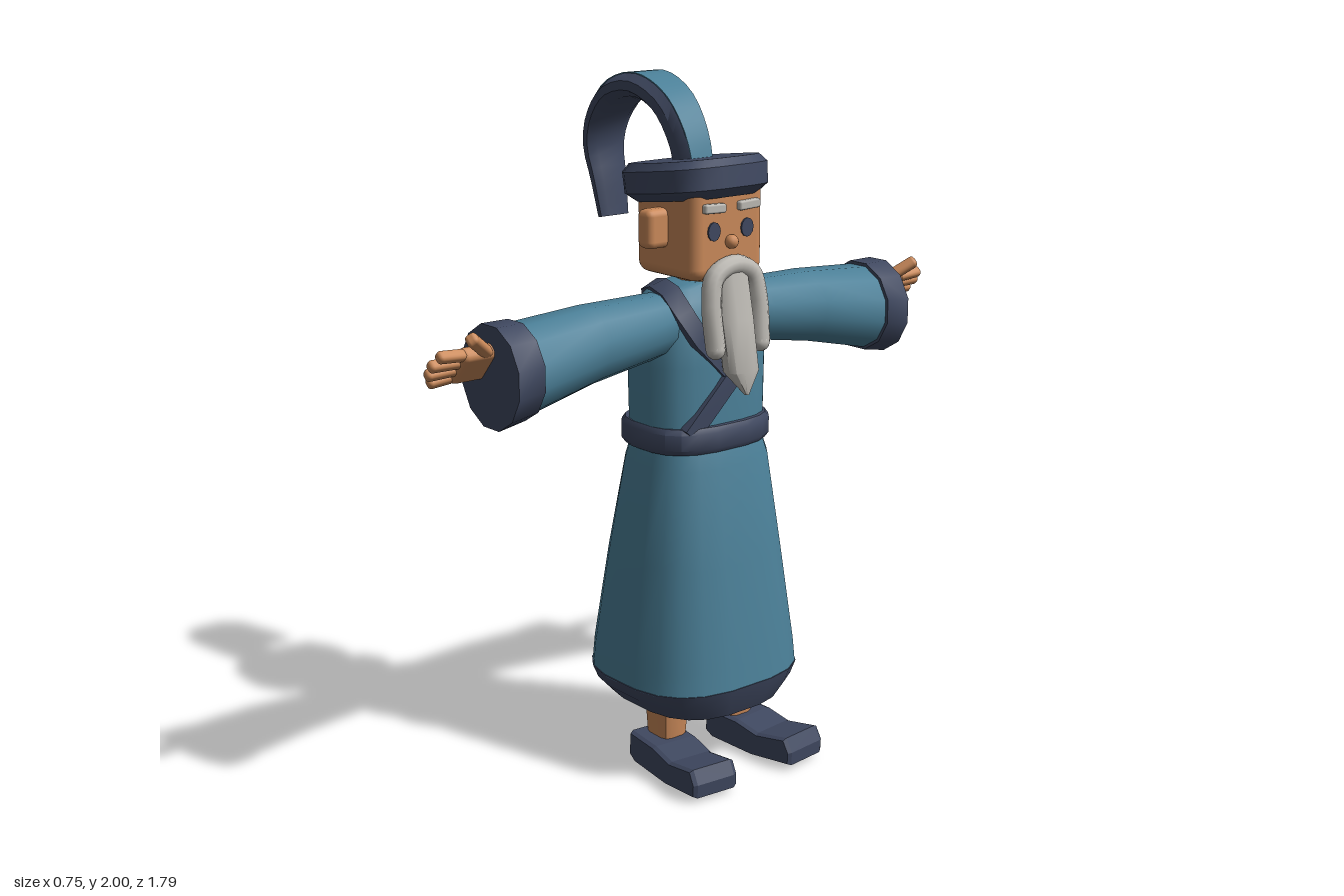
import * as THREE from 'three';
import { toCreasedNormals } from 'three/addons/utils/BufferGeometryUtils.js';
import { RoundedBoxGeometry } from 'three/addons/geometries/RoundedBoxGeometry.js';

const V = (x, y, z) => new THREE.Vector3(x, y, z);
const mat = (name, color) => {
  const m = new THREE.MeshStandardMaterial({ color });
  m.name = name;
  return m;
};

// Skin a series of rings, closing both ends
function loft(rings, crease = 0.7) {
  const n = rings[0].length, pos = [], idx = [];
  rings.forEach(r => r.forEach(p => pos.push(p.x, p.y, p.z)));
  for (let i = 0; i < rings.length - 1; i++) {
    for (let j = 0; j < n; j++) {
      const k = (j + 1) % n, a = i * n + j, b = i * n + k;
      idx.push(a, a + n, b, b, a + n, b + n);
    }
  }
  [0, rings.length - 1].forEach((ri, end) => {
    const c = V(0, 0, 0);
    rings[ri].forEach(p => c.addScaledVector(p, 1 / n));
    const ci = pos.length / 3;
    pos.push(c.x, c.y, c.z);
    for (let j = 0; j < n; j++) {
      const a = ri * n + j, b = ri * n + (j + 1) % n;
      if (end) idx.push(ci, b, a); else idx.push(ci, a, b);
    }
  });
  const g = new THREE.BufferGeometry();
  g.setAttribute('position', new THREE.Float32BufferAttribute(pos, 3));
  g.setIndex(idx);
  return toCreasedNormals(g, crease);
}

// Horizontal rounded-square ring: height, half width, back z, front z
function oval([y, hx, z0, z1], seg = 20, power = 2.8) {
  const f = c => Math.sign(c) * Math.abs(c) ** (2 / power);
  return Array.from({ length: seg }, (_, i) => {
    const a = (i + 0.5) / seg * Math.PI * 2;
    return V(hx * f(Math.cos(a)), y, (z0 + z1) / 2 + (z1 - z0) / 2 * f(Math.sin(a)));
  });
}
const ovalLoft = (rows, seg, power) => loft(rows.map(r => oval(r, seg, power)));

// Sweep a flat shape [across, out] along frames {p, t, n, w, h}
function sweep(frames, shape) {
  return loft(frames.map(({ p, t, n, w, h }) => {
    const b = n.clone().cross(t).normalize();
    return shape.map(([u, v]) => p.clone().addScaledVector(b, u * w).addScaledVector(n, v * h));
  }));
}
const RECT = [[-1, 1], [1, 1], [1, -1], [-1, -1]];
const BEVEL = [[-0.7, 1], [0.7, 1], [1, 0.4], [1, -0.4], [0.6, -1], [-0.6, -1], [-1, -0.4], [-1, 0.4]];

export function createModel() {
  const root = new THREE.Group(), body = new THREE.Group();
  root.name = 'robedElder';
  body.name = 'body';
  body.rotation.y = Math.PI / 2; // built facing +z, turned to face +x
  root.add(body);

  const cloth = mat('tealCloth', 0x4b8098), trim = mat('navyTrim', 0x3f4860);
  const skin = mat('skin', 0xcb8a5a), hair = mat('greyHair', 0xbcb9b3);
  const add = (name, geo, m, parent = body, p = [0, 0, 0], r = [0, 0, 0]) => {
    const o = new THREE.Mesh(geo, m);
    o.name = name;
    o.position.set(...p);
    o.rotation.set(...r);
    parent.add(o);
    return o;
  };

  // Robe
  add('hem', ovalLoft([[0.2, 0.22, -0.165, 0.295], [0.25, 0.267, -0.19, 0.317], [0.29, 0.284, -0.2, 0.328]]), trim);
  add('skirt', ovalLoft([[0.285, 0.282, -0.198, 0.326], [0.36, 0.277, -0.19, 0.318], [0.65, 0.24, -0.145, 0.28],
    [0.93, 0.203, -0.09, 0.24], [0.99, 0.185, -0.075, 0.222]]), cloth);
  add('belt', ovalLoft([[0.975, 0.2, -0.09, 0.23], [0.99, 0.21, -0.1, 0.24], [1.035, 0.21, -0.1, 0.24],
    [1.05, 0.2, -0.09, 0.23]]), trim);
  add('torso', ovalLoft([[1, 0.198, -0.065, 0.215], [1.22, 0.203, -0.066, 0.215], [1.33, 0.195, -0.056, 0.205],
    [1.4, 0.18, -0.025, 0.18], [1.43, 0.15, 0, 0.155], [1.445, 0.09, 0.02, 0.14]]), cloth);

  // Collar strips: position then outward normal
  const strip = (name, rows) => {
    const curve = new THREE.CatmullRomCurve3(rows.map(r => V(r[0], r[1], r[2])));
    const frames = rows.map((r, i) => {
      const t = curve.getTangent(i / (rows.length - 1));
      const n = V(r[3], r[4], r[5]);
      n.addScaledVector(t, -n.dot(t)).normalize();
      return { p: V(r[0], r[1], r[2]), t, n, w: 0.027, h: 0.016 };
    });
    add(name, sweep(frames, RECT), trim);
  };
  const side = s => [[s * 0.1, 1.3, 0.203, 0, 0.1, 1], [s * 0.137, 1.37, 0.18, s * 0.3, 0.4, 0.9],
    [s * 0.14, 1.42, 0.13, s * 0.5, 1, 0.3], [s * 0.13, 1.43, 0.07, s * 0.4, 1, 0],
    [s * 0.105, 1.415, 0.005, s * 0.3, 0.8, -0.6], [s * 0.065, 1.36, -0.042, 0, 0.3, -1], [0, 1.28, -0.062, 0, 0, -1]];
  strip('collarLong', [[-0.135, 1.03, 0.2, 0, 0, 1], [0, 1.175, 0.214, 0, 0, 1], ...side(1)]);
  strip('collarShort', [[0.01, 1.19, 0.212, 0, 0, 1], ...side(-1)]);

  // Sleeve ring around the arm: x, bottom, top, back, front
  const armRing = ([x, y0, y1, z0, z1]) => Array.from({ length: 12 }, (_, i) => {
    const a = (i + 0.5) / 12 * Math.PI * 2;
    return V(x, (y0 + y1) / 2 + (y1 - y0) / 2 * Math.sin(a) * 1.03, (z0 + z1) / 2 + (z1 - z0) / 2 * Math.cos(a) * 1.03);
  });

  // Shoe outline seen from the side: forward, up
  const shoe = new THREE.Shape([[0.03, 0.03], [0.06, 0.012], [0.22, 0.005], [0.37, 0.02], [0.372, 0.06],
    [0.35, 0.1], [0.24, 0.082], [0.16, 0.1], [0.035, 0.104]].map(p => new THREE.Vector2(p[0], p[1])));
  const shoeGeo = new THREE.ExtrudeGeometry(shoe, { depth: 0.125, bevelThickness: 0.012, bevelSize: 0.006, bevelOffset: -0.006, bevelSegments: 1 });
  shoeGeo.translate(-0.04, 0, -0.0625).rotateY(-Math.PI / 2);

  for (const s of [1, -1]) {
    const half = new THREE.Group();
    half.name = s > 0 ? 'rightLimbs' : 'leftLimbs';
    half.scale.x = s;
    body.add(half);

    add('sleeve', loft([[0.1, 1.25, 1.42, 0.01, 0.17], [0.2, 1.24, 1.42, -0.005, 0.185], [0.4, 1.205, 1.415, -0.032, 0.19],
      [0.64, 1.15, 1.4, -0.04, 0.205]].map(armRing)), cloth, half);
    add('cuff', loft([[0.63, 1.145, 1.41, -0.046, 0.214], [0.715, 1.13, 1.41, -0.048, 0.216]].map(armRing)), trim, half);

    // Tilted open hand
    const hand = new THREE.Group();
    hand.name = 'hand';
    hand.position.set(0.75, 1.31, 0.06);
    hand.rotation.x = -0.85;
    half.add(hand);
    add('palm', new RoundedBoxGeometry(0.13, 0.045, 0.12, 2, 0.018), skin, hand, [-0.005, 0, 0]);
    [[-0.046, 0.075, 0.22], [-0.015, 0.095, 0.07], [0.016, 0.1, -0.05], [0.046, 0.088, -0.16]].forEach(([z, len, a]) =>
      add('finger', new RoundedBoxGeometry(len, 0.032, 0.029, 2, 0.011), skin, hand,
        [0.045 + len / 2, 0, z * 1.1], [0, a * 0.7, 0]));
    add('thumb', new RoundedBoxGeometry(0.12, 0.034, 0.034, 2, 0.012), skin, hand, [0.02, -0.005, 0.085], [0, -0.75, 0]);

    // Leg and shoe
    add('leg', ovalLoft([[0.07, 0.042, 0.045, 0.14], [0.3, 0.058, 0.035, 0.16]], 12, 4), skin, half, [0.128, 0, 0]);
    add('shoe', shoeGeo, trim, half, [0.142, 0, 0.04], [0, 0.1, 0]);

    // Paired face parts
    add('ear', new RoundedBoxGeometry(0.085, 0.11, 0.06, 2, 0.02), skin, half, [0.153, 1.6, 0.075]);
    const eye = add('eye', new THREE.CylinderGeometry(0.022, 0.022, 0.008, 12), trim, half, [0.06, 1.598, 0.216], [Math.PI / 2, 0, 0]);
    eye.scale.z = 1.2;
    add('eyebrow', new RoundedBoxGeometry(0.075, 0.026, 0.03, 1, 0.006), hair, half, [0.062, 1.662, 0.216], [0, 0, 0.04]);
    add('moustacheEnd', new THREE.SphereGeometry(0.028, 12, 8), hair, half, [0.082, 1.278, 0.252]);
  }

  // Head
  add('neck', new THREE.CylinderGeometry(0.06, 0.065, 0.12, 12), skin, body, [0, 1.45, 0.085]);
  add('head', new RoundedBoxGeometry(0.26, 0.28, 0.26, 3, 0.035), skin, body, [0, 1.6, 0.085]);
  add('nose', new THREE.SphereGeometry(0.02, 12, 8), skin, body, [0, 1.565, 0.222]);

  // Beard and moustache
  add('beard', ovalLoft([[1.145, 0.006, 0.282, 0.296], [1.21, 0.054, 0.225, 0.303], [1.35, 0.058, 0.205, 0.275],
    [1.5, 0.055, 0.18, 0.245]], 12, 2.5), hair);
  const arch = [[0.082, 1.278, 0.252], [0.085, 1.4, 0.237], [0.066, 1.475, 0.228]];
  const archPts = [...arch, [0, 1.502, 0.228], ...arch.slice().reverse().map(([x, y, z]) => [-x, y, z])];
  add('moustache', new THREE.TubeGeometry(new THREE.CatmullRomCurve3(archPts.map(p => V(...p))), 32, 0.028, 10), hair);

  // Hat band, tilted up at the front
  add('hatBand', ovalLoft([[-0.055, 0.145, -0.155, 0.155], [-0.03, 0.175, -0.183, 0.183], [0.03, 0.178, -0.184, 0.184],
    [0.052, 0.16, -0.165, 0.165]], 20, 3), trim, body, [0, 1.725, 0.067], [-0.13, 0, 0]);

  // Curled hat tail with a coloured strip along its outer side
  const tail = new THREE.CatmullRomCurve3([[0.06, 1.74], [0.035, 1.83], [-0.03, 1.92], [-0.14, 1.965], [-0.25, 1.935],
    [-0.325, 1.855], [-0.347, 1.775], [-0.325, 1.68], [-0.303, 1.57]].map(([z, y]) => V(0, y, z)));
  const tailFrames = (end, lift, wide, thin) => Array.from({ length: 25 }, (_, i) => {
    const u = i / 24 * end, t = tail.getTangentAt(u), n = V(0, -t.z, t.y);
    const h = THREE.MathUtils.lerp(0.043, 0.018, u);
    const w = u < 0.5 ? THREE.MathUtils.lerp(0.052, 0.086, u * 2) : THREE.MathUtils.lerp(0.086, 0.05, u * 2 - 1);
    return { p: tail.getPointAt(u).addScaledVector(n, h * lift), t, n, w: w * wide, h: thin || h };
  });
  add('hatTail', sweep(tailFrames(1, 0, 1), BEVEL), trim);
  add('hatTailStrip', sweep(tailFrames(0.93, 1, 0.7, 0.003), RECT), cloth);

  return root;
}
